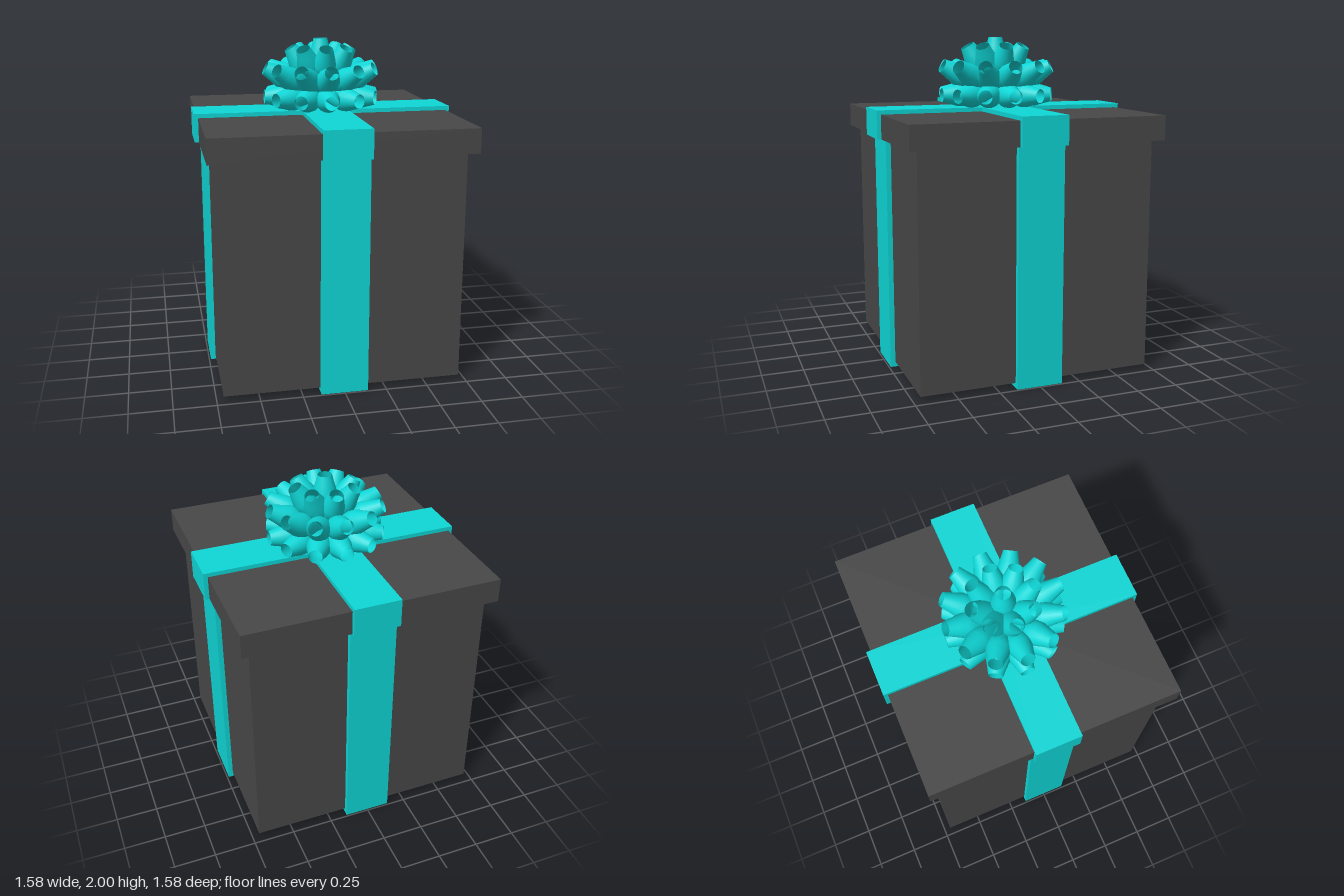
import * as THREE from 'three';

const dark = new THREE.MeshStandardMaterial({ color: 0x484848 });
const teal = new THREE.MeshStandardMaterial({ color: 0x0fd6d6, side: THREE.DoubleSide });
const RIBBON_WIDTH = 0.28;

function add(parent, name, geometry, material) {
  const mesh = new THREE.Mesh(geometry, material);
  mesh.name = name;
  parent.add(mesh);
  return mesh;
}

// Open-ended ribbon profile: a U of the given outer and inner sizes, extruded to ribbon width
function ribbonBand(points) {
  const shape = new THREE.Shape(points.map(([x, y]) => new THREE.Vector2(x, y)));
  const geometry = new THREE.ExtrudeGeometry(shape, { depth: RIBBON_WIDTH, bevelEnabled: false });
  return geometry.translate(0, 0, -RIBBON_WIDTH / 2);
}

export function createModel() {
  const model = new THREE.Group();
  model.name = 'giftBox';

  // Box and lid
  add(model, 'boxBody', new THREE.BoxGeometry(1.42, 1.38, 1.42).translate(0, 0.72, 0), dark);
  add(model, 'lid', new THREE.BoxGeometry(1.53, 0.145, 1.53).translate(0, 1.4825, 0), dark);

  // Crossed ribbons: one pair wraps under the box, one pair wraps over the lid
  const bodyBand = ribbonBand([
    [-0.74, 0], [0.74, 0], [0.74, 1.412], [0.71, 1.412],
    [0.71, 0.03], [-0.71, 0.03], [-0.71, 1.412], [-0.74, 1.412],
  ]);
  const lidBand = ribbonBand([
    [-0.79, 1.41], [-0.765, 1.41], [-0.765, 1.555], [0.765, 1.555],
    [0.765, 1.41], [0.79, 1.41], [0.79, 1.58], [-0.79, 1.58],
  ]);
  for (const turn of [0, Math.PI / 2]) {
    add(model, 'bodyRibbon', bodyBand, teal).rotation.y = turn;
    add(model, 'lidRibbon', lidBand, teal).rotation.y = turn;
  }

  // Bow: hollow tapered loops radiating in tiers from one centre
  const bow = new THREE.Group();
  bow.name = 'bow';
  bow.position.y = 1.65;
  model.add(bow);

  const profile = [[0.02, 0.03], [0.055, 0.14], [0.072, 0.21], [0.07, 0.25], [0.055, 0.3], [0.042, 0.35]];
  const loop = new THREE.LatheGeometry(profile.map(([r, y]) => new THREE.Vector2(r, y)), 20);
  const tiers = [
    { count: 12, elevation: 0, stretch: 1 },
    { count: 12, elevation: 27, stretch: 1.1 },
    { count: 8, elevation: 58, stretch: 1 },
    { count: 1, elevation: 90, stretch: 1 },
  ];
  const up = new THREE.Vector3(0, 1, 0);
  for (const { count, elevation, stretch } of tiers) {
    const e = THREE.MathUtils.degToRad(elevation);
    for (let i = 0; i < count; i++) {
      const a = (i / count) * Math.PI * 2;
      const direction = new THREE.Vector3(
        Math.cos(e) * Math.cos(a), Math.sin(e), Math.cos(e) * Math.sin(a));
      const petal = add(bow, 'bowLoop', loop, teal);
      petal.quaternion.setFromUnitVectors(up, direction);
      petal.scale.y = stretch;
    }
  }
  return model;
}
